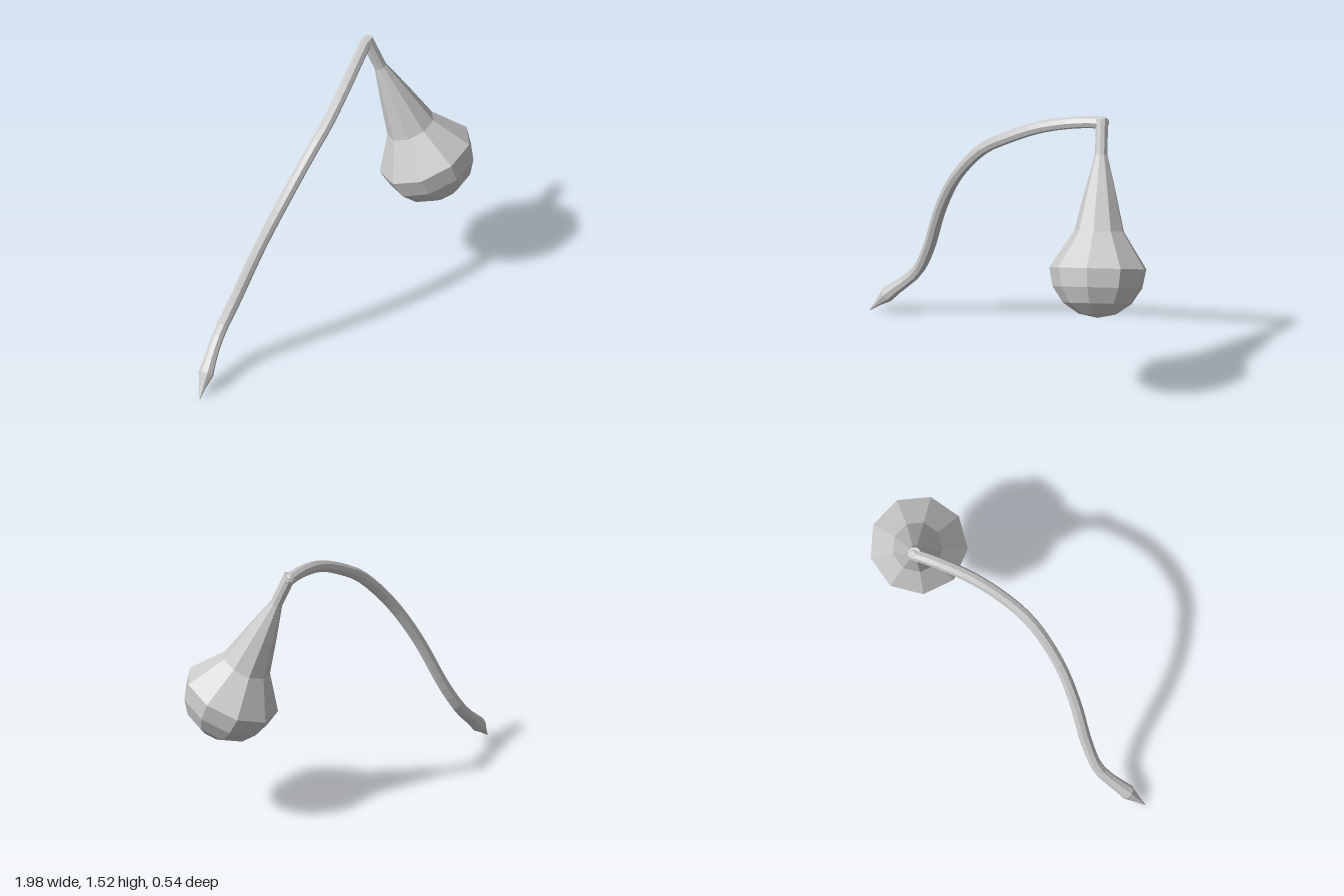
import * as THREE from 'three';

const V = (x, y, z) => new THREE.Vector3(x, y, z);

export function createModel() {
  const model = new THREE.Group();
  model.name = 'hangingGourd';
  const material = new THREE.MeshStandardMaterial({ color: 0xcccccc, flatShading: true });

  const add = (name, geometry) => {
    const mesh = new THREE.Mesh(geometry, material);
    mesh.name = name;
    model.add(mesh);
    return mesh;
  };

  // Curved stem: a tube whose rings taper to a point at the root tip
  const path = new THREE.CatmullRomCurve3([
    V(-1, 0.005, 0), V(-0.9, 0.12, -0.045), V(-0.75, 0.27, -0.098), V(-0.65, 0.43, -0.085),
    V(-0.5, 0.75, -0.035), V(-0.35, 0.99, -0.003), V(-0.15, 1.21, 0), V(0, 1.31, -0.025),
    V(0.2, 1.415, -0.09), V(0.4, 1.475, -0.18), V(0.52, 1.49, -0.24),
  ]);
  const rings = 32, sides = 8, radius = 0.033;
  const tube = new THREE.TubeGeometry(path, rings, radius, sides);
  const tip = [0.003, 0.02, 0.042, 0.036];
  const pos = tube.attributes.position;
  const p = V(0, 0, 0);
  for (let i = 0; i < tip.length; i++) {
    const centre = path.getPointAt(i / rings);
    for (let j = 0; j <= sides; j++) {
      const k = i * (sides + 1) + j;
      p.fromBufferAttribute(pos, k).sub(centre).multiplyScalar(tip[i] / radius).add(centre);
      pos.setXYZ(k, p.x, p.y, p.z);
    }
  }
  add('stem', tube);

  // Rounded joint closing the upper end of the stem
  add('stemJoint', new THREE.SphereGeometry(radius, 8, 6)).position.copy(path.getPoint(1));

  // Gourd: nine-sided half-sphere bowl below, faceted neck above
  const r = 0.268;
  const profile = [];
  for (let i = 0; i <= 4; i++) {
    const a = (i * Math.PI) / 8;
    profile.push(new THREE.Vector2(r * Math.sin(a), -r * Math.cos(a)));
  }
  for (const [x, y] of [[0.137, 0.2], [0.087, 0.41], [0.034, 0.615], [0.034, 0.806], [0, 0.806]]) {
    profile.push(new THREE.Vector2(x, y));
  }
  const rim = V(0.722, 0.77, 0.003);
  const top = V(0.515, 1.507, -0.237);
  const gourd = add('gourd', new THREE.LatheGeometry(profile, 9, Math.PI / 6));
  gourd.position.copy(rim);
  gourd.quaternion.setFromUnitVectors(V(0, 1, 0), top.sub(rim).normalize());

  return model;
}
